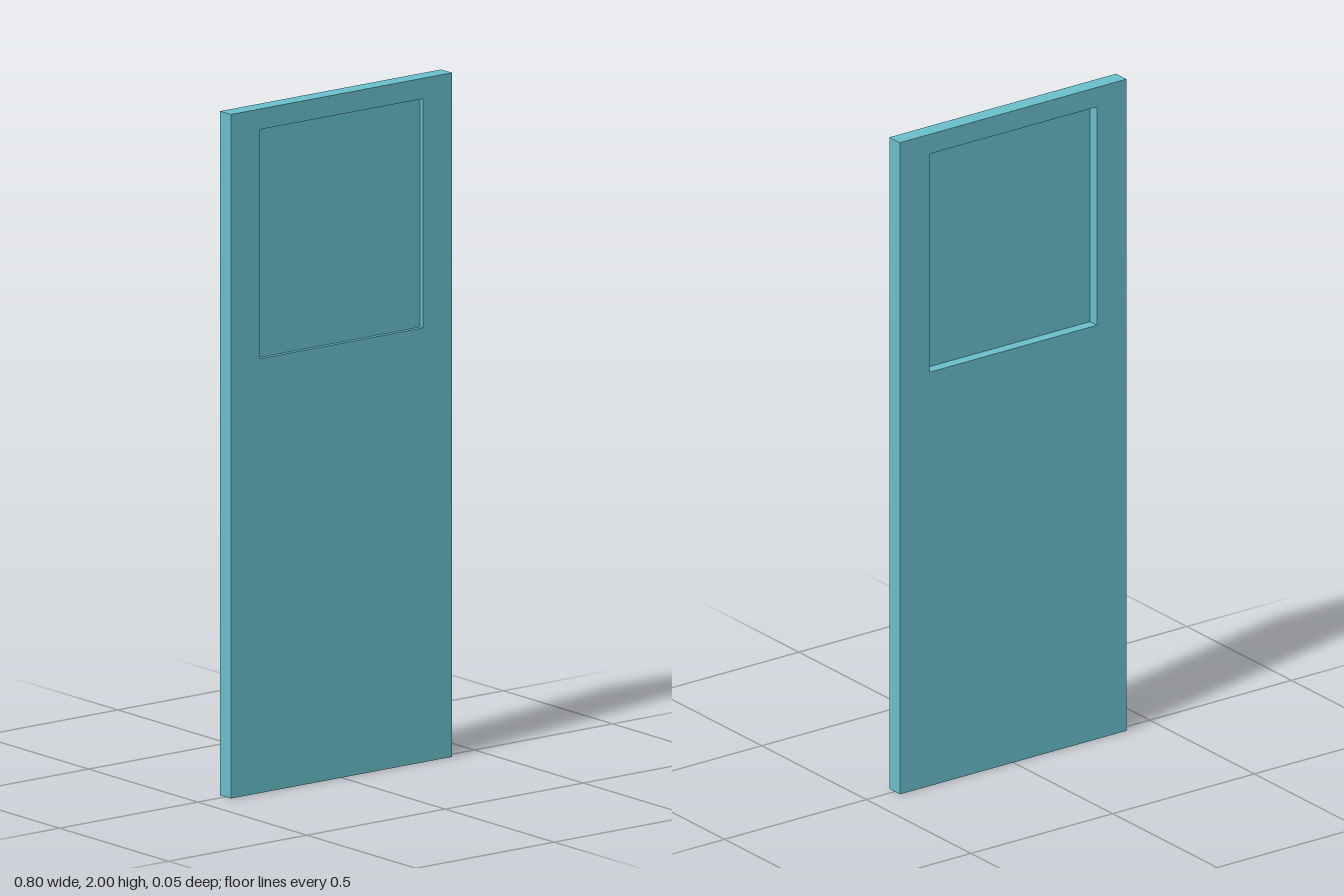
import * as THREE from 'three';

export function createModel() {
  const group = new THREE.Group();
  const material = new THREE.MeshStandardMaterial({ color: 0x69c0cc });
  const width = 0.8, height = 2, depth = 0.05;
  const win = { x: 0.295, bottom: 1.27, top: 1.94 };

  // Door slab with a rectangular window opening
  const outline = new THREE.Shape([
    new THREE.Vector2(-width / 2, 0),
    new THREE.Vector2(width / 2, 0),
    new THREE.Vector2(width / 2, height),
    new THREE.Vector2(-width / 2, height),
  ]);
  outline.holes.push(new THREE.Path([
    new THREE.Vector2(-win.x, win.bottom),
    new THREE.Vector2(-win.x, win.top),
    new THREE.Vector2(win.x, win.top),
    new THREE.Vector2(win.x, win.bottom),
  ]));
  const slabGeometry = new THREE.ExtrudeGeometry(outline, { depth, bevelEnabled: false });
  slabGeometry.translate(0, 0, -depth / 2);
  const slab = new THREE.Mesh(slabGeometry, material);
  slab.name = 'doorSlab';
  group.add(slab);

  // Thin pane, set close to the front and deep from the back
  const paneHeight = win.top - win.bottom;
  const pane = new THREE.Mesh(new THREE.BoxGeometry(win.x * 2, paneHeight, 0.004), material);
  pane.position.set(0, win.bottom + paneHeight / 2, 0.01);
  pane.name = 'windowPane';
  group.add(pane);

  return group;
}
